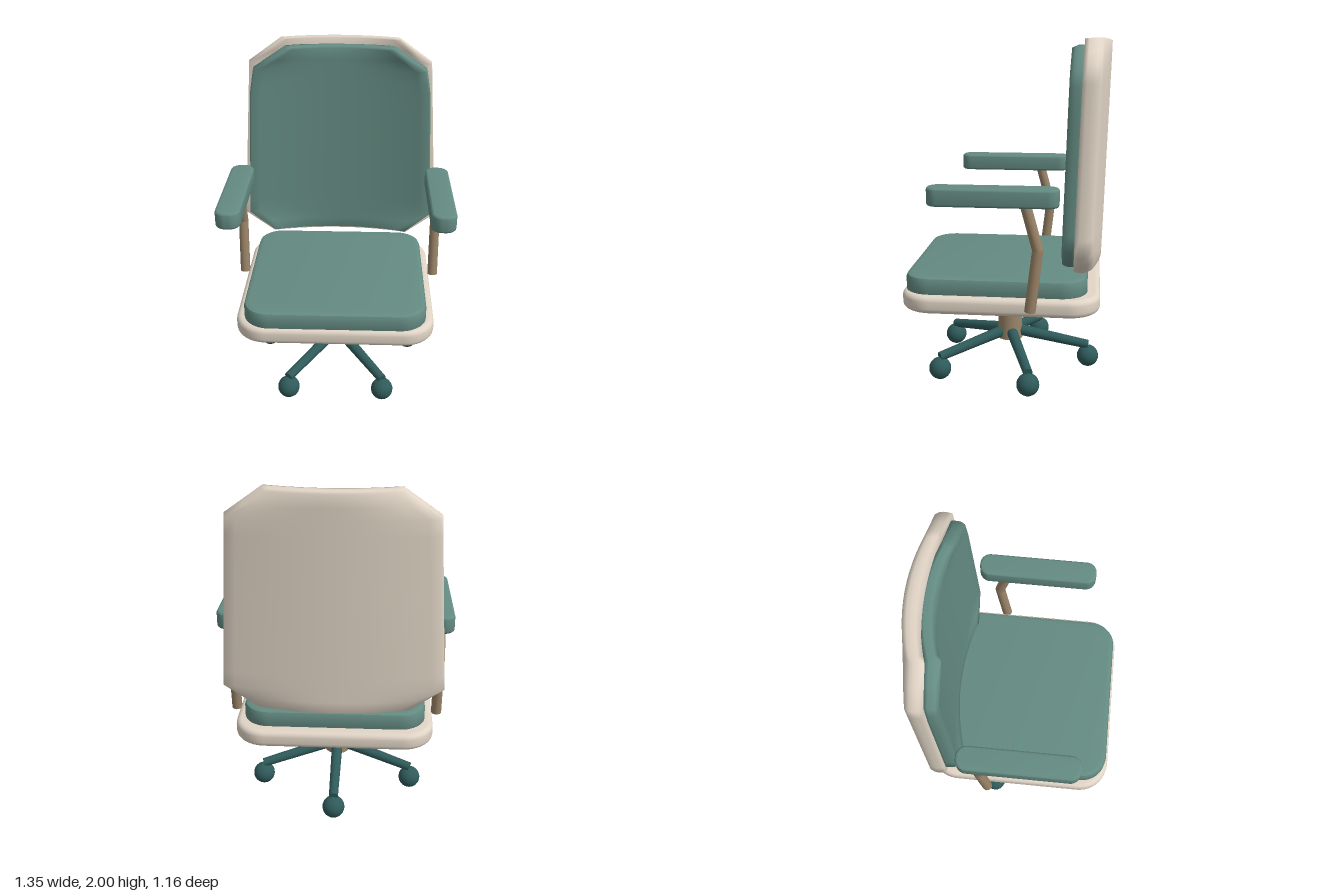
import * as THREE from 'three';
import { mergeVertices, toCreasedNormals } from 'three/addons/utils/BufferGeometryUtils.js';

const mat = (color) => new THREE.MeshStandardMaterial({ color });

// Horizontal slab with rounded corners and bevelled rims
function slab(width, depth, radius, height, bevel, segments) {
  const x = width / 2, y = depth / 2, r = radius;
  const s = new THREE.Shape();
  s.moveTo(-x + r, -y);
  s.lineTo(x - r, -y);
  s.absarc(x - r, -y + r, r, -Math.PI / 2, 0);
  s.lineTo(x, y - r);
  s.absarc(x - r, y - r, r, 0, Math.PI / 2);
  s.lineTo(-x + r, y);
  s.absarc(-x + r, y - r, r, Math.PI / 2, Math.PI);
  s.lineTo(-x, -y + r);
  s.absarc(-x + r, -y + r, r, Math.PI, Math.PI * 1.5);
  const g = new THREE.ExtrudeGeometry(s, {
    depth: height - 2 * bevel, bevelThickness: bevel, bevelSize: bevel,
    bevelOffset: -bevel, bevelSegments: segments, curveSegments: 8,
  });
  g.translate(0, 0, bevel - height / 2);
  g.rotateX(-Math.PI / 2);
  return toCreasedNormals(g, 0.7);
}

// Curved upright panel: a box whose rows follow a [halfWidth, y] outline,
// hollowed toward the middle and leaning back with height
function backPanel(outline, zFront, zBack, hollow, frontInset, backInset) {
  const rows = [];
  outline.forEach(([w, y], i) => {
    if (i === 0) return rows.push([w, y]);
    const [w0, y0] = outline[i - 1];
    const n = Math.max(2, Math.round((y - y0) / 0.09));
    for (let k = 1; k <= n; k++) rows.push([w0 + (w - w0) * k / n, y0 + (y - y0) * k / n]);
  });
  const yMid = (rows[0][1] + rows[rows.length - 1][1]) / 2;
  const half = yMid - rows[0][1];
  const g = new THREE.BoxGeometry(2, 1, 1, 20, rows.length - 1, 4);
  const p = g.attributes.position;
  for (let i = 0; i < p.count; i++) {
    const u = p.getX(i), t = p.getZ(i) * 2;
    const [w, y] = rows[Math.round((p.getY(i) + 0.5) * (rows.length - 1))];
    const inset = t > 0 ? frontInset * t * t : backInset * t * t;
    const py = yMid + (y - yMid) * (1 - inset / half);
    const z = zBack + (zFront - zBack) * (t + 1) / 2 - hollow * (1 - u * u) - 0.03 * (py - 0.73);
    p.setXYZ(i, u * (w - inset), py, z);
  }
  g.deleteAttribute('normal');
  g.deleteAttribute('uv');
  const smooth = mergeVertices(g, 1e-4);
  smooth.computeVertexNormals();
  return smooth;
}

export function createModel() {
  const model = new THREE.Group();
  const fabric = mat(0x648b82), cream = mat(0xe0d4c5), wood = mat(0x9a8468), dark = mat(0x2f5a5a);

  const add = (name, geometry, material, x = 0, y = 0, z = 0, parent = model) => {
    const m = new THREE.Mesh(geometry, material);
    m.name = name;
    m.position.set(x, y, z);
    parent.add(m);
    return m;
  };
  // Cylinder between two points
  const rod = (name, a, b, rA, rB, material, parent) => {
    const dir = b.clone().sub(a);
    const m = add(name, new THREE.CylinderGeometry(rB, rA, dir.length(), 16), material, 0, 0, 0, parent);
    m.position.copy(a).add(b).multiplyScalar(0.5);
    m.quaternion.setFromUnitVectors(new THREE.Vector3(0, 1, 0), dir.normalize());
    return m;
  };

  // Seat
  add('seatShell', slab(1.145, 1.12, 0.18, 0.1, 0.03, 4), cream, 0, 0.555, 0.018);
  add('seatCushion', slab(1.05, 1.03, 0.15, 0.12, 0.026, 2), fabric, 0, 0.64, 0.045);

  // Backrest
  add('backShell', backPanel(
    [[0.435, 0.73], [0.62, 0.865], [0.555, 1.86], [0.36, 2.0]],
    -0.392, -0.487, 0.058, 0.004, 0.014), cream);
  add('backCushion', backPanel(
    [[0.425, 0.76], [0.585, 0.885], [0.55, 1.68], [0.525, 1.83], [0.33, 1.96]],
    -0.325, -0.4, 0.064, 0.012, 0), fabric);

  // Armrests on bent posts
  for (const side of [1, -1]) {
    const arm = new THREE.Group();
    arm.name = side > 0 ? 'leftArm' : 'rightArm';
    model.add(arm);
    add('armPad', slab(0.142, 0.705, 0.062, 0.1, 0.014, 3), fabric, side * 0.602, 1.185, 0.035, arm);
    const [foot, bend, top] = [[0.555, -0.165], [0.9, -0.205], [1.15, -0.137]]
      .map(([y, z]) => new THREE.Vector3(side * 0.605, y, z));
    rod('lowerPost', foot, bend, 0.031, 0.03, wood, arm);
    rod('upperPost', bend, top, 0.03, 0.03, wood, arm);
    add('postBend', new THREE.SphereGeometry(0.03, 16, 10), wood, bend.x, bend.y, bend.z, arm);
  }

  // Column and five-legged base
  const base = new THREE.Group();
  base.name = 'base';
  base.position.z = 0.006;
  model.add(base);
  add('column', new THREE.CylinderGeometry(0.066, 0.078, 0.335, 24), wood, 0, 0.343, 0, base);
  for (let i = 0; i < 5; i++) {
    const a = -Math.PI / 2 + i * Math.PI * 2 / 5;
    const at = (r, y) => new THREE.Vector3(r * Math.cos(a), y, r * Math.sin(a));
    rod('leg', at(0.04, 0.223), at(0.485, 0.138), 0.034, 0.027, dark, base);
    const c = at(0.484, 0.066);
    add('caster', new THREE.SphereGeometry(0.066, 20, 14), dark, c.x, c.y, c.z, base);
  }
  return model;
}
